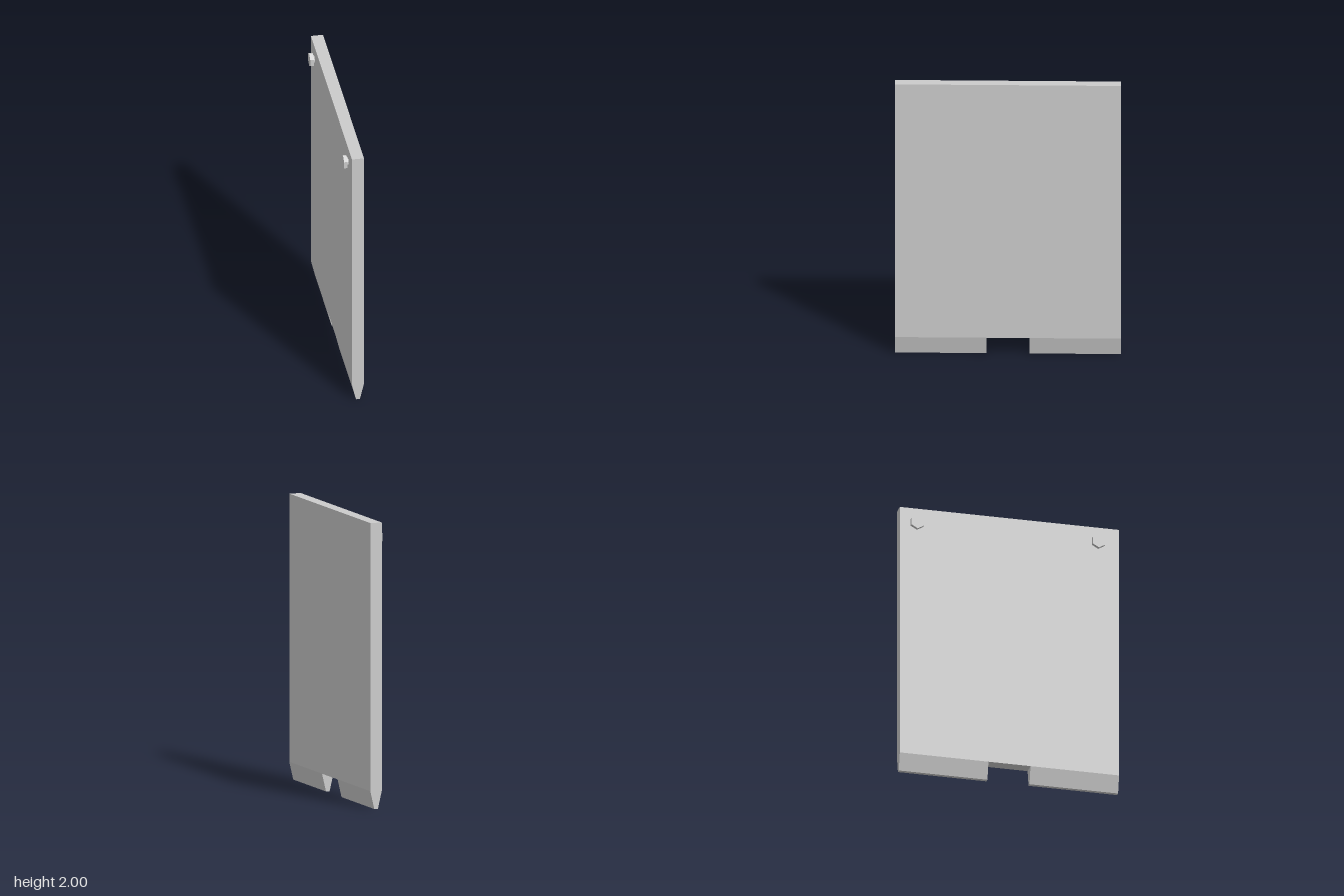
import * as THREE from 'three';

const CX = 0.0175, HALF = 0.0425, TIP = 0.0135; // board centre and half thicknesses
const BEVEL = 0.125, TOP = 2, WIDE = 0.782, NOTCH = 0.15;

export function createModel() {
  const group = new THREE.Group();
  const material = new THREE.MeshStandardMaterial({ color: 0xcccccc, flatShading: true });
  const add = (name, geometry, x, y, z) => {
    const mesh = new THREE.Mesh(geometry, material);
    mesh.name = name;
    mesh.position.set(x, y, z);
    group.add(mesh);
  };

  // Flat panel
  add('panel', new THREE.BoxGeometry(HALF * 2, TOP - BEVEL, WIDE * 2), CX, (TOP + BEVEL) / 2, 0);

  // Tapered feet on either side of the notch
  const profile = new THREE.Shape([
    new THREE.Vector2(-TIP, 0), new THREE.Vector2(TIP, 0),
    new THREE.Vector2(HALF, BEVEL), new THREE.Vector2(-HALF, BEVEL),
  ]);
  const foot = new THREE.ExtrudeGeometry(profile, { depth: WIDE - NOTCH, bevelEnabled: false });
  add('frontFoot', foot, CX, 0, NOTCH);
  add('backFoot', foot, CX, 0, -WIDE);

  // Hexagonal bolts on the right face, one near each top corner
  const head = new THREE.CylinderGeometry(0.051, 0.051, 0.025, 6).rotateY(Math.PI / 6).rotateZ(Math.PI / 2);
  const shank = new THREE.CylinderGeometry(0.03, 0.03, 0.02, 16).rotateZ(Math.PI / 2);
  for (const [side, z] of [['front', 0.63], ['back', -0.663]]) {
    add(side + 'BoltHead', head, -0.0475, 1.885, z);
    add(side + 'BoltShank', shank, -0.028, 1.885, z);
  }
  return group;
}
